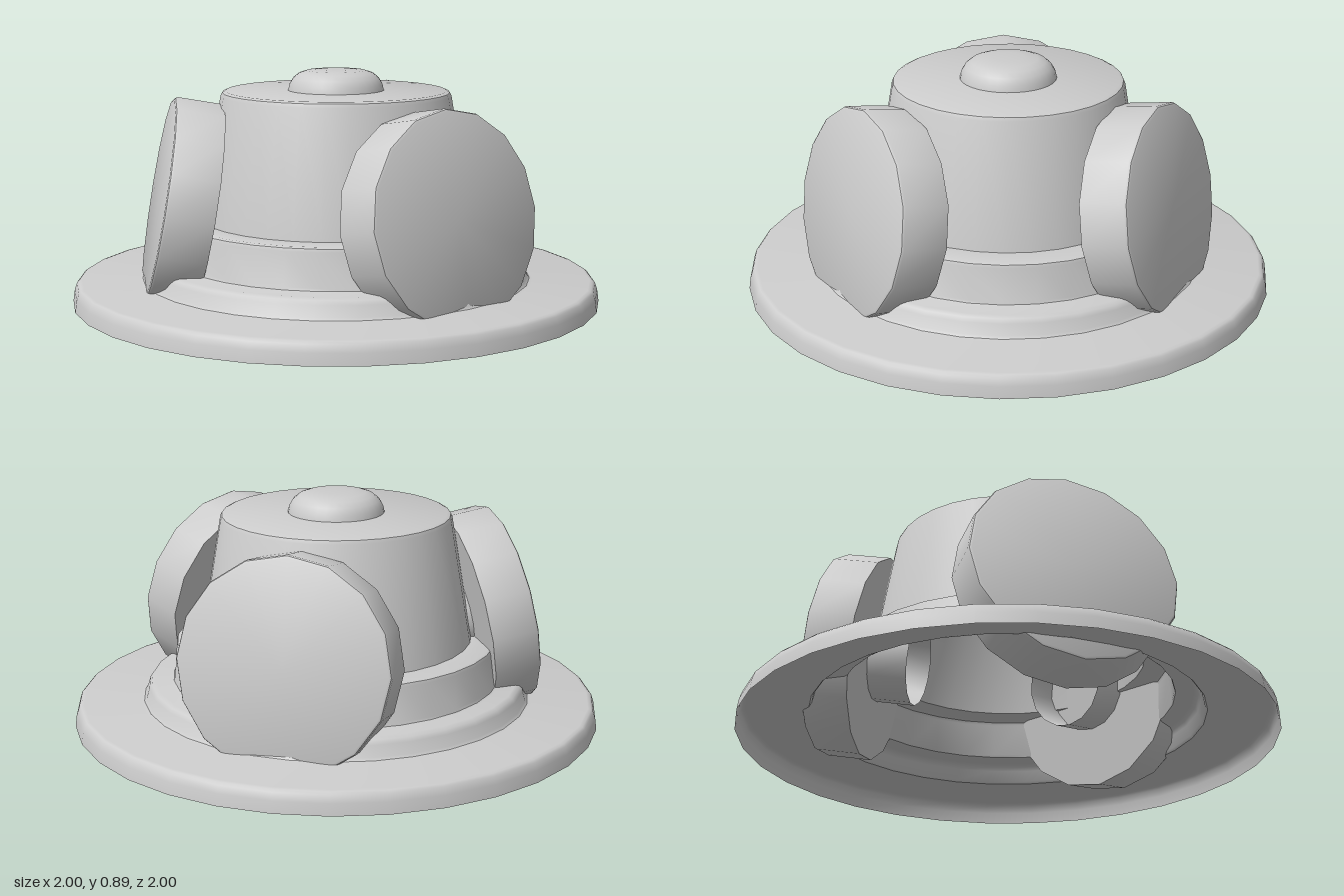
import * as THREE from 'three';
import { toCreasedNormals } from 'three/addons/utils/BufferGeometryUtils.js';

const grey = new THREE.MeshStandardMaterial({ color: 0xcccccc, side: THREE.DoubleSide });
grey.name = 'light grey';

// Turned part from [radius, height] pairs, listed from the bottom up
function turned(name, profile, segments) {
  const points = profile.map(([r, y]) => new THREE.Vector2(r, y));
  const geometry = toCreasedNormals(new THREE.LatheGeometry(points, segments), 0.6);
  const mesh = new THREE.Mesh(geometry, grey);
  mesh.name = name;
  return mesh;
}

// Leaning drum with an open tube behind it, pointing along +z
function createPod() {
  const pod = new THREE.Group();
  const tilt = new THREE.Group();
  tilt.name = 'podTilt';
  tilt.position.set(0, 0.415, 0.675);
  tilt.rotation.x = -0.178;

  const drum = turned('drum', [
    [0, -0.182], [0.39, -0.182], [0.39, -0.012], [0.386, -0.004], [0.378, 0], [0, 0],
  ], 16);
  const tube = turned('innerTube', [[0.165, -0.335], [0.165, -0.175]], 16);
  for (const part of [drum, tube]) {
    part.rotation.x = Math.PI / 2;
    tilt.add(part);
  }
  pod.add(tilt);
  return pod;
}

export function createModel() {
  const model = new THREE.Group();
  model.name = 'steppedDome';

  // Hollow stepped shell: flange, two steps and tapered housing
  model.add(turned('shell', [
    [1.0, 0.022], [0.994, 0.065], [0.985, 0.092], [0.977, 0.1], [0.965, 0.103],
    [0.75, 0.103], [0.738, 0.106], [0.73, 0.115], [0.718, 0.155], [0.708, 0.17], [0.692, 0.177],
    [0.632, 0.177], [0.624, 0.181], [0.62, 0.19], [0.61, 0.315], [0.606, 0.326], [0.596, 0.331],
    [0.515, 0.331], [0.435, 0.795], [0.429, 0.808], [0.416, 0.814], [0, 0.814],
  ], 32));

  // Rounded button on top
  model.add(turned('topButton', [
    [0.181, 0.813], [0.176, 0.836], [0.162, 0.86], [0.14, 0.878], [0.11, 0.888],
    [0.06, 0.892], [0, 0.893],
  ], 32));

  // Three pods spaced evenly around the housing
  ['frontPod', 'backLeftPod', 'backRightPod'].forEach((name, i) => {
    const pod = createPod();
    pod.name = name;
    pod.rotation.y = (i * Math.PI * 2) / 3;
    model.add(pod);
  });

  return model;
}
